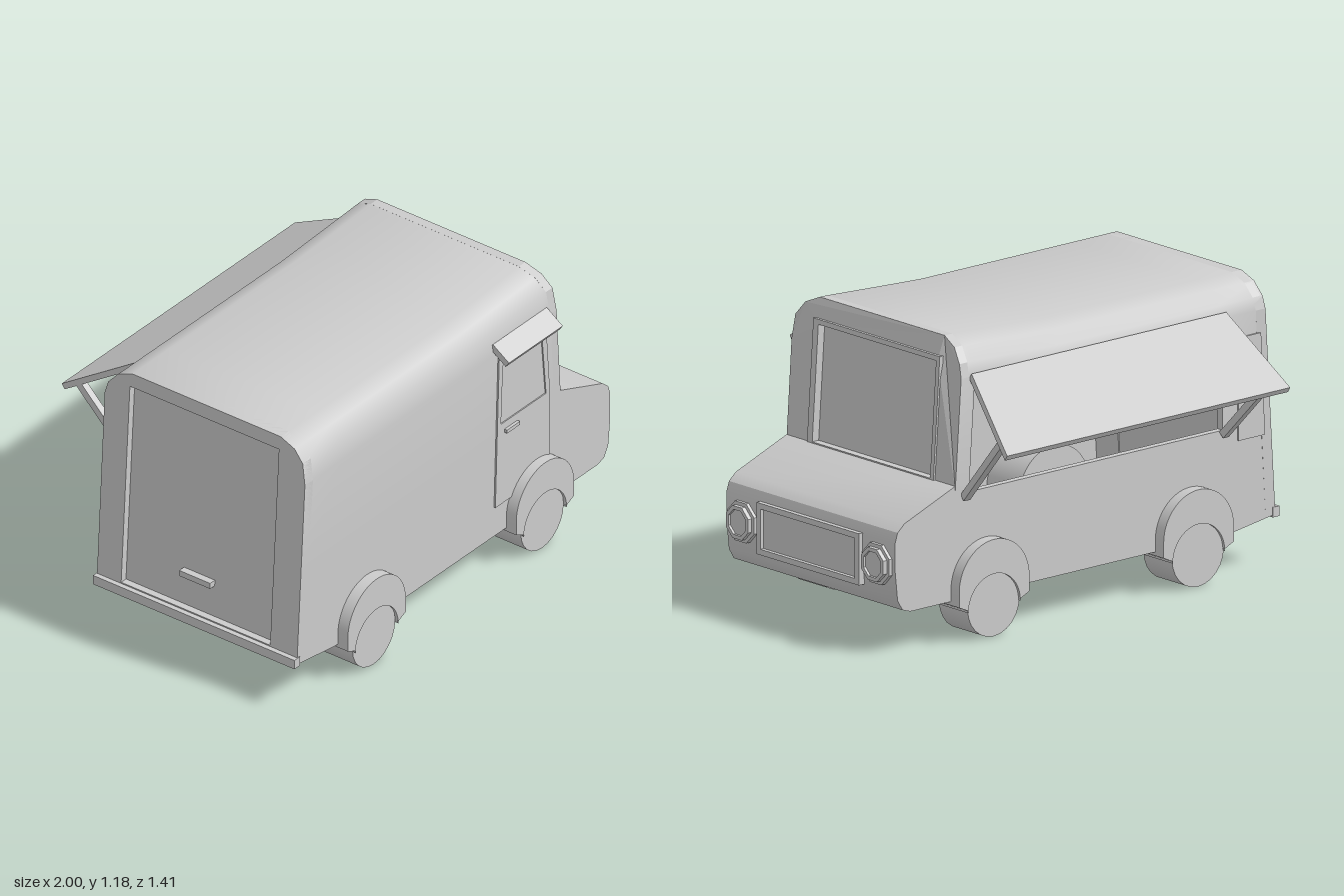
import * as THREE from 'three';
import { toCreasedNormals } from 'three/addons/utils/BufferGeometryUtils.js';

const mat = new THREE.MeshStandardMaterial({ color: 0xcccccc, side: THREE.DoubleSide });
const MID = 0.145; // centre line of the van body in z

// Body cross-section as [z, y], from the bottom of the +z side over the roof to the -z side
const SECTION = [[0.632, 0.165], [0.632, 0.57], [0.632, 0.99], [0.617, 1.08], [0.575, 1.13], [0.505, 1.158],
  [-0.215, 1.158], [-0.285, 1.13], [-0.33, 1.08], [-0.344, 1.03], [-0.342, 0.57], [-0.342, 0.165]];
const WINDOW_ROW = 9;                       // section span left open for the serving window
const STATIONS = [0, 0.145, 0.4, 0.66, 0.8, 0.96, 1];
const rearX = y => -0.98 + (y - 0.2) * 0.063;
const frontX = y => 0.66 - Math.max(0, y - 0.62) * 0.07 - Math.max(0, y - 1.1) * 0.35;
const lift = (x, y) => Math.max(0, y - 0.9) * 0.1 * THREE.MathUtils.clamp((x - 0.1) / 0.48, 0, 1);

function mesh(name, geo, x = 0, y = 0, z = 0) {
  const m = new THREE.Mesh(geo, mat);
  m.name = name;
  m.position.set(x, y, z);
  return m;
}
const box = (name, w, h, d, x, y, z) => mesh(name, new THREE.BoxGeometry(w, h, d), x, y, z);
const poly = pts => new THREE.Shape(pts.map(p => new THREE.Vector2(...p)));
const rect = (x0, y0, x1, y1) => [[x0, y0], [x1, y0], [x1, y1], [x0, y1]];

// Extruded polygon with an optional polygonal hole
function plate(pts, depth, hole) {
  const s = poly(pts);
  if (hole) s.holes.push(poly(hole));
  return new THREE.ExtrudeGeometry(s, { depth, bevelEnabled: false, curveSegments: 24 });
}

// Plate given in [z, y] that stands across the van and follows a sloped end
function endPlate(name, pts, hole, x0, x1, xAt) {
  const flip = a => a && a.map(([z, y]) => [-z, y]);
  const geo = plate(flip(pts), x1 - x0, flip(hole)).rotateY(Math.PI / 2);
  const p = geo.attributes.position;
  for (let i = 0; i < p.count; i++) {
    const y = p.getY(i), x = p.getX(i) + x0 + xAt(y);
    p.setXYZ(i, x, y + lift(x, y), p.getZ(i));
  }
  geo.computeVertexNormals();
  return mesh(name, geo);
}

// Square bar between two points
function bar(name, a, b, w) {
  const from = new THREE.Vector3(...a), to = new THREE.Vector3(...b);
  const m = mesh(name, new THREE.BoxGeometry(w, w, from.distanceTo(to)));
  m.position.copy(from).lerp(to, 0.5);
  m.lookAt(to);
  return m;
}

// Skin of the van body, lofted from rear to front with one opening
function bodyShell() {
  const pos = [], idx = [], n = SECTION.length;
  for (const t of STATIONS) {
    for (const [z, y0] of SECTION) {
      const y = t === 0 && y0 < 0.2 ? 0.2 : y0;
      const x = THREE.MathUtils.lerp(rearX(y), frontX(y), t);
      pos.push(x, y + lift(x, y), z);
    }
  }
  for (let i = 0; i < STATIONS.length - 1; i++) {
    for (let j = 0; j < n; j++) {
      if (j === WINDOW_ROW && i >= 1 && i <= 4) continue;
      const k = (j + 1) % n, a = i * n + j, b = a + n, c = (i + 1) * n + k, d = i * n + k;
      idx.push(a, b, c, a, c, d);
    }
  }
  const geo = new THREE.BufferGeometry();
  geo.setAttribute('position', new THREE.Float32BufferAttribute(pos, 3));
  geo.setIndex(idx);
  return mesh('bodyShell', toCreasedNormals(geo, 0.75));
}

// Wheel arch with short legs around the tyre
function fenderGeometry() {
  const s = new THREE.Shape();
  s.moveTo(0.18, 0.15);
  s.lineTo(0.18, 0.21);
  s.absarc(0, 0.21, 0.18, 0, Math.PI, false);
  s.lineTo(-0.18, 0.15);
  s.lineTo(-0.132, 0.128);
  s.absarc(0, 0.12, 0.133, Math.PI, 0, true);
  s.lineTo(0.132, 0.128);
  return toCreasedNormals(new THREE.ExtrudeGeometry(s, { depth: 0.235, bevelEnabled: false, curveSegments: 20 }), 0.6);
}

export function createModel() {
  const g = new THREE.Group();
  g.name = 'foodTruck';
  g.add(bodyShell());

  // Hood and nose
  const nose = plate([[0.655, 0.165], [0.89, 0.165], [0.93, 0.178], [0.955, 0.22], [0.968, 0.34], [0.968, 0.45],
    [0.955, 0.49], [0.92, 0.52], [0.66, 0.62]], 0.974);
  g.add(mesh('hood', toCreasedNormals(nose, 0.5), 0, 0, -0.342));

  // Windshield end
  const upper = [[0.632, 0.6], ...SECTION.slice(2, 10), [-0.342, 0.6]];
  const glass = rect(0.475, 0.625, -0.205, 1.07);
  g.add(endPlate('frontFrame', upper, glass, -0.04, 0, frontX));
  g.add(endPlate('windshieldTrim', rect(0.505, 0.62, -0.225, 1.088), glass, -0.01, 0.008, frontX));
  g.add(endPlate('windshield', glass, null, -0.035, -0.025, frontX));

  // Rear end with recessed door
  const rearLoop = [[0.632, 0.2], ...SECTION.slice(2, 10), [-0.342, 0.2]];
  const doorway = rect(0.5, 0.235, -0.225, 1.1);
  g.add(endPlate('rearFrame', rearLoop, doorway, 0, 0.05, rearX));
  g.add(endPlate('rearDoor', doorway, null, 0.03, 0.045, rearX));
  g.add(box('rearDoorHandle', 0.035, 0.025, 0.15, -0.95, 0.38, 0.125));
  g.add(box('rearBumper', 0.035, 0.04, 0.98, -0.982, 0.21, MID));

  // Grille and headlights
  const grille = rect(0.415, 0.27, -0.13, 0.43);
  g.add(endPlate('grilleFrame', rect(0.438, 0.247, -0.155, 0.453), grille, 0, 0.03, () => 0.957));
  g.add(endPlate('grillePanel', grille, null, 0, 0.013, () => 0.957));
  const ring = (r, a = Math.PI / 8) => Array.from({ length: 8 }, (_, i) =>
    [r * Math.cos(a + i * Math.PI / 4), r * Math.sin(a + i * Math.PI / 4)]);
  for (const side of [1, -1]) {
    const z = MID + side * 0.39;
    const at = r => ring(r).map(([u, v]) => [z + u, 0.352 + v]);
    g.add(endPlate('headlightBase', at(0.085), null, 0, 0.027, () => 0.955));
    g.add(endPlate('headlightRim', at(0.07), at(0.054), 0, 0.045, () => 0.955));
    g.add(endPlate('headlightLens', at(0.056), null, 0, 0.034, () => 0.955));
  }

  // Wheels and arches
  const fender = fenderGeometry();
  const wheel = new THREE.CylinderGeometry(0.133, 0.133, 0.165, 24).rotateX(Math.PI / 2);
  for (const x of [-0.55, 0.497]) {
    for (const side of [1, -1]) {
      g.add(mesh('wheel', wheel, x, 0.133, MID + side * 0.442));
      g.add(mesh('fender', fender, x + 0.005, 0, MID + side * 0.418 - 0.1175));
    }
  }

  // Cab door, its window frame, handle and small canopy
  const pane = [[0.28, 0.66], [0.56, 0.66], [0.535, 0.93], [0.292, 0.922]];
  const door = [[0.245, 0.297], [0.585, 0.295], [0.585, 0.65], [0.56, 0.98], [0.27, 0.98]];
  g.add(mesh('cabDoor', plate(door, 0.012, pane), 0, 0, 0.627));
  g.add(mesh('cabDoorWindow', plate(pane, 0.005), 0, 0, 0.629));
  g.add(box('cabDoorHandle', 0.08, 0.015, 0.018, 0.342, 0.62, 0.643));
  const canopy = box('cabDoorCanopy', 0.335, 0.028, 0.095, 0.41, 1.0, 0.66);
  canopy.rotation.x = 0.6;
  g.add(canopy);

  // Serving window surround
  const opening = [[-0.71, 0.585], [0.59, 0.585], [0.56, 1.02], [-0.7, 1.02]];
  g.add(mesh('servingWindowFrame', plate(rect(-0.73, 0.565, 0.605, 1.035), 0.03, opening), 0, 0, -0.342));

  // Raised hatch and its struts
  const hatch = mesh('servingHatch', plate([[-0.72, 0], [0.585, 0], [0.715, 0.42], [-0.735, 0.42]], 0.025), 0, 1.035, -0.338);
  hatch.rotation.x = Math.PI + 0.996;
  g.add(hatch);
  g.add(bar('hatchStrut', [-0.71, 0.57, -0.35], [-0.715, 0.86, -0.635], 0.03));
  g.add(bar('hatchStrut', [0.615, 0.57, -0.35], [0.67, 0.86, -0.635], 0.03));

  // Small panel behind the serving window
  g.add(mesh('sidePanel', plate([[-0.92, 0.53], [-0.785, 0.53], [-0.785, 0.94], [-0.9, 0.94]], 0.012), 0, 0, -0.35));
  return g;
}
